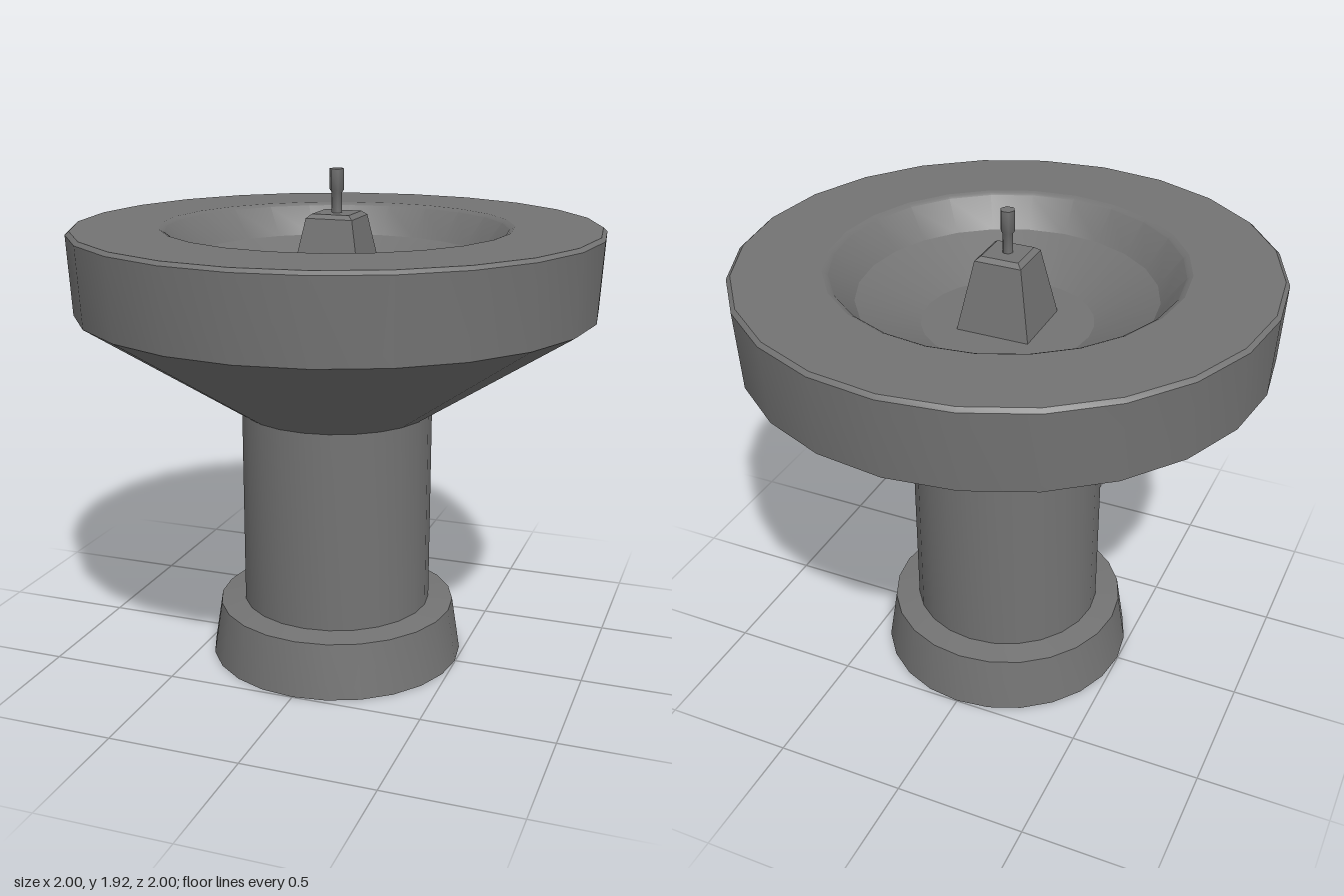
import * as THREE from 'three';
import { toCreasedNormals } from 'three/addons/utils/BufferGeometryUtils.js';

const material = new THREE.MeshStandardMaterial({ color: 0x737373 });

// Turn a [radius, height] profile, listed bottom to top on the outside, into a named part
function turned(name, profile, sides, phiStart = 0, crease = 20) {
  const points = profile.map(([r, y]) => new THREE.Vector2(r, y));
  const lathe = new THREE.LatheGeometry(points, sides, phiStart);
  const mesh = new THREE.Mesh(toCreasedNormals(lathe, THREE.MathUtils.degToRad(crease)), material);
  mesh.name = name;
  return mesh;
}

export function createModel() {
  const group = new THREE.Group();
  group.name = 'drinkingFountain';

  // Tapered foot, its top rising slightly towards the column
  group.add(turned('base', [[0, 0], [0.498, 0], [0.465, 0.212], [0.36, 0.225]], 24));

  // Plain round pedestal
  group.add(turned('column', [[0.369, 0.215], [0.369, 1.005]], 24));

  // Flared bowl, wide rim with a rounded inner edge, and stepped basin
  group.add(turned('bowl', [
    [0.36, 1], [0.369, 1], [0.984, 1.4], [1, 1.697], [0.985, 1.71],
    [0.668, 1.71], [0.663, 1.71], [0.653, 1.706], [0.642, 1.699],
    [0.555, 1.59], [0.32, 1.48], [0, 1.48],
  ], 24));

  // Four-sided pillar; its half widths are scaled to corner radii
  const pillar = [[0.14, 1.48], [0.09, 1.74], [0.072, 1.755], [0, 1.755]];
  group.add(turned('spoutPillar', pillar.map(([w, y]) => [w * Math.SQRT2, y]), 4, Math.PI / 4));

  // Hexagonal nozzle: thin stem and thicker head
  group.add(turned('nozzle', [
    [0.021, 1.75], [0.021, 1.83], [0.028, 1.84], [0.028, 1.917], [0, 1.917],
  ], 6, Math.PI / 6, 65));

  return group;
}
